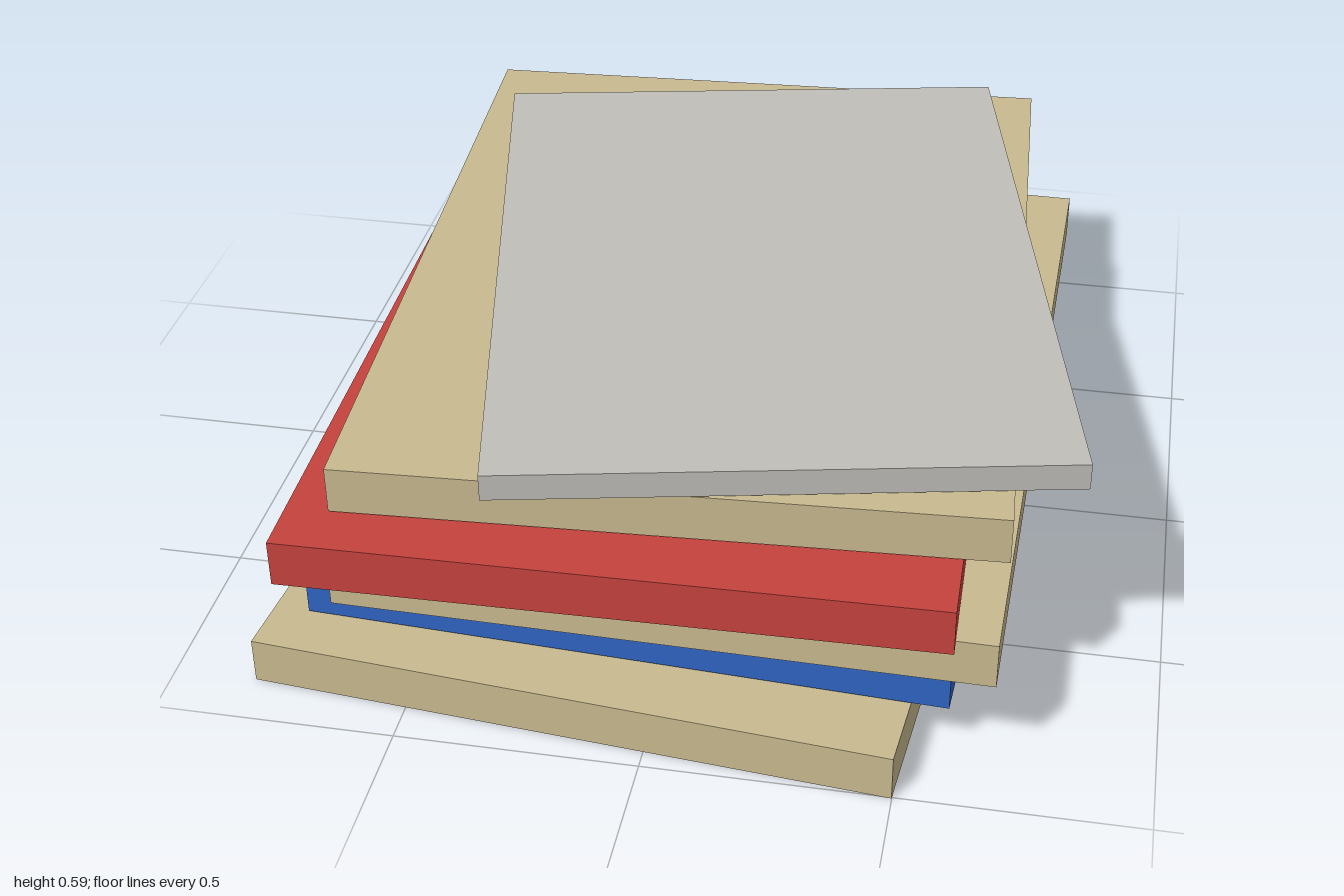
import * as THREE from 'three';

const material = (name, color) => {
  const m = new THREE.MeshStandardMaterial({ color });
  m.name = name;
  return m;
};

export function createModel() {
  const tan = material('tan', 0xc8b98f);
  const blue = material('blue', 0x3064c2);
  const red = material('red', 0xc5423e);
  const grey = material('grey', 0xc0bfb9);

  const group = new THREE.Group();
  group.name = 'stackOfBoards';

  // One loosely turned board of the stack, resting at height y
  const addBoard = (name, mat, [w, h, d], [x, y, z], turn) => {
    const board = new THREE.Mesh(new THREE.BoxGeometry(w, h, d), mat);
    board.name = name;
    board.position.set(x, y + h / 2, z);
    board.rotation.y = turn;
    group.add(board);
  };

  // Five equal boards, bottom to top, with a narrow gap between them
  const size = [1.332, 0.1, 1.777];
  const layers = [
    ['bottomTanBoard', tan, -0.084, 0.058, -0.09],
    ['blueBoard', blue, -0.028, -0.078, -0.053],
    ['middleTanBoard', tan, 0.028, -0.01, -0.0165],
    ['redBoard', red, -0.083, 0.058, 0.0165],
    ['upperTanBoard', tan, -0.028, -0.078, 0.053],
  ];
  layers.forEach(([name, mat, x, z, turn], i) =>
    addBoard(name, mat, size, [x, i * 0.106, z], turn));

  // Smaller, thinner board on top
  addBoard('topGreyBoard', grey, [1.165, 0.057, 1.61], [0.083, 0.53, -0.011], 0.209);

  return group;
}
